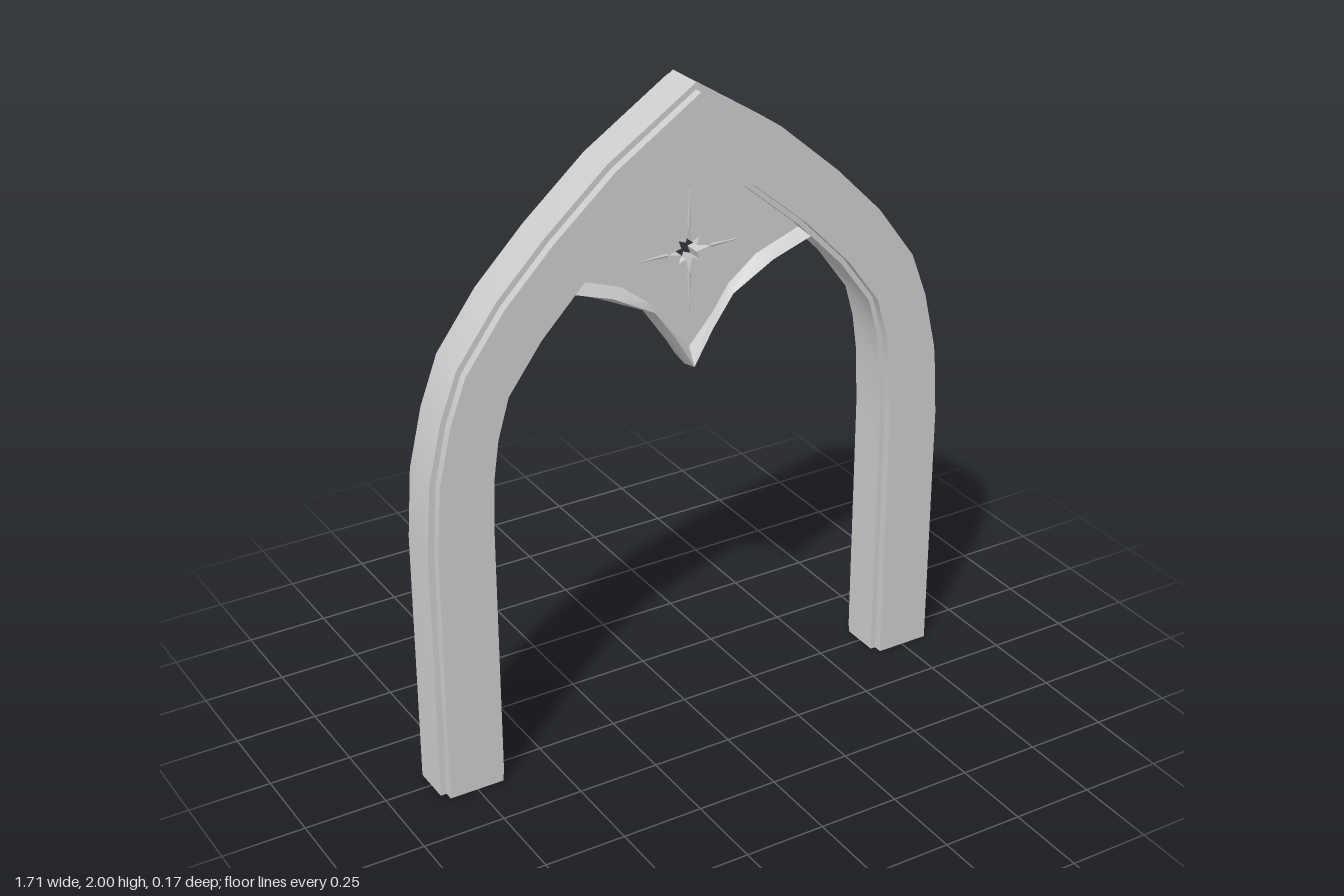
import * as THREE from 'three';
import { toCreasedNormals } from 'three/addons/utils/BufferGeometryUtils.js';

const material = new THREE.MeshStandardMaterial({ color: 0xcccccc, side: THREE.DoubleSide });

// Skin through equal-length rows of [x, y, z]; edges sharper than ~35 degrees stay crisp
function skin(rows, closed) {
  const n = rows[0].length, index = [];
  for (let i = 0; i < rows.length - 1; i++) {
    for (let j = 0; j < (closed ? n : n - 1); j++) {
      const k = (j + 1) % n;
      const a = i * n + j, b = (i + 1) * n + j, c = (i + 1) * n + k, d = i * n + k;
      index.push(a, b, c, a, c, d);
    }
  }
  const g = new THREE.BufferGeometry();
  g.setAttribute('position', new THREE.Float32BufferAttribute(rows.flat(2), 3));
  g.setIndex(index);
  return toCreasedNormals(g, 0.6);
}

// Continue a right-hand list ending on the centre line over to the left
const mirrored = (half) => [
  ...half,
  ...half.slice(0, -1).reverse().map((row) => row.map(([x, y, z]) => [-x, y, z])),
];

function add(parent, name, geometry) {
  const m = new THREE.Mesh(geometry, material);
  m.name = name;
  parent.add(m);
  return m;
}

// Stepped moulding swept along the pointed arch, open at the feet
function archGeometry() {
  // outer x, y, inner x, y from foot to apex
  const stations = [
    [0.855, 0, 0.65, 0], [0.855, 0.8, 0.65, 0.8], [0.84, 1.01, 0.643, 0.98],
    [0.798, 1.19, 0.627, 1.1], [0.745, 1.33, 0.593, 1.22], [0.62, 1.5, 0.49, 1.36],
    [0.47, 1.652, 0.34, 1.515], [0.275, 1.822, 0.17, 1.66], [0, 2, 0, 1.785],
  ];
  // fraction across the band, depth
  const front = [[0, 0.06], [0.09, 0.06], [0.09, 0.087], [0.92, 0.087], [0.92, 0.06], [1, 0.06]];
  const profile = [...front, ...front.slice().reverse().map(([t, z]) => [t, -z])];
  const rows = stations.map(([ox, oy, ix, iy]) =>
    profile.map(([t, z]) => [ox + (ix - ox) * t, oy + (iy - oy) * t, z]));
  return skin(mirrored(rows), true);
}

const FIELD = 0.025; // half thickness of the pierced panel
const STAR_Y = 1.5;
const inset = [[0.385, 1.5], [0.22, 1.44], [0.13, 1.37], [0.075, 1.29], [0, 1.205]];

// Cusped lower border of the panel
function cuspGeometry() {
  const middle = [[0.41, 1.465], [0.27, 1.405], [0.14, 1.345], [0.07, 1.243], [0, 1.14]];
  const edge = [[0.41, 1.475], [0.26, 1.424], [0.128, 1.35], [0.06, 1.255], [0, 1.152]];
  const rows = inset.map((p, i) => [
    [...p, FIELD], [...edge[i], 0.055], [...middle[i], 0],
    [...edge[i], -0.055], [...p, -FIELD],
  ]);
  return skin(mirrored(rows), false);
}

// Panel filling the arch head, pierced by an eight-pointed star
function panelGeometry() {
  const half = [[0, 1.81], [0.19, 1.68], [0.37, 1.53], ...inset];
  const left = half.slice(1, -1).reverse().map(([x, y]) => [-x, y]);
  const shape = new THREE.Shape([...half, ...left].map(([x, y]) => new THREE.Vector2(x, y)));
  const star = [];
  for (let i = 0; i < 16; i++) {
    const r = i % 2 ? 0.027 : i % 4 ? 0.048 : 0.07;
    const a = (i * Math.PI) / 8;
    star.push(new THREE.Vector2(r * Math.cos(a), STAR_Y + r * Math.sin(a)));
  }
  shape.holes.push(new THREE.Path(star));
  return new THREE.ExtrudeGeometry(shape, { depth: 2 * FIELD, bevelEnabled: false })
    .translate(0, 0, -FIELD);
}

export function createModel() {
  const model = new THREE.Group();
  model.name = 'pointedArch';
  add(model, 'archFrame', archGeometry());

  const tracery = new THREE.Group();
  tracery.name = 'tracery';
  model.add(tracery);
  add(tracery, 'piercedPanel', panelGeometry());
  add(tracery, 'cuspedBorder', cuspGeometry());

  // Slim low-relief rays around the star, on both faces
  const ray = new THREE.ConeGeometry(0.006, 0.13, 4).translate(0, 0.135, 0).toNonIndexed();
  ray.computeVertexNormals();
  for (const side of [1, -1]) {
    for (let i = 0; i < 4; i++) {
      const m = add(tracery, 'starRay', ray);
      m.position.set(0, STAR_Y, side * FIELD);
      m.rotation.z = (i * Math.PI) / 2;
      m.scale.z = 0.5;
    }
  }
  return model;
}
